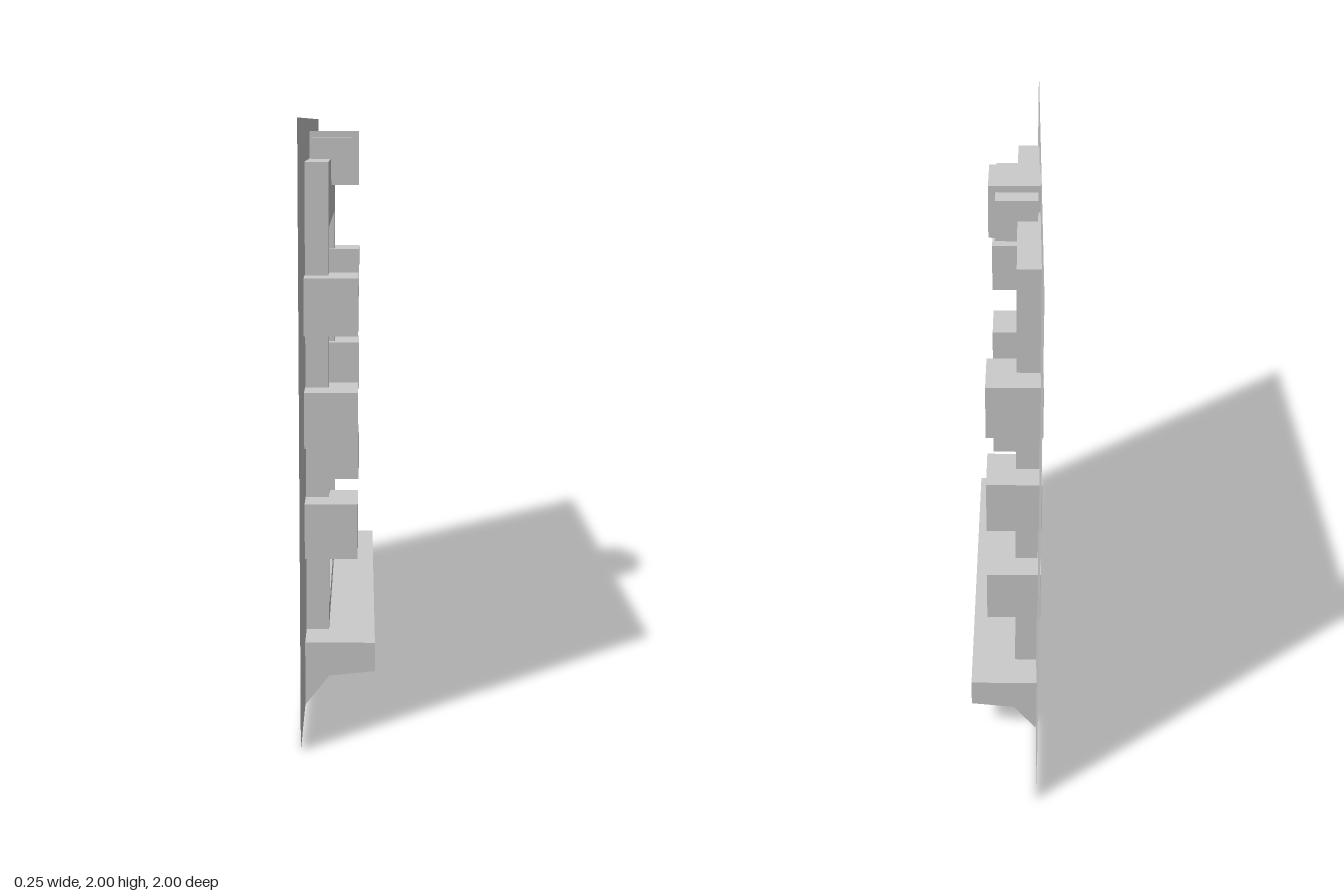
import * as THREE from 'three';
import { toCreasedNormals } from 'three/addons/utils/BufferGeometryUtils.js';

const WALL_X = -0.115;   // plane of the wall; the window faces +x
const BACK = WALL_X + 0.001;

export function createModel() {
  const model = new THREE.Group();
  model.name = 'windowWall';
  const grey = new THREE.MeshStandardMaterial({ color: 0xcccccc });
  const greyThin = new THREE.MeshStandardMaterial({ color: 0xcccccc, side: THREE.DoubleSide });

  function add(name, geometry, material = grey) {
    const mesh = new THREE.Mesh(geometry, material);
    mesh.name = name;
    model.add(mesh);
    return mesh;
  }
  // Box given by its limits on each axis
  function box(name, x0, x1, y0, y1, z0, z1) {
    add(name, new THREE.BoxGeometry(x1 - x0, y1 - y0, z1 - z0))
      .position.set((x0 + x1) / 2, (y0 + y1) / 2, (z0 + z1) / 2);
  }
  function rectangle(Type, w, y0, y1) {
    return new Type([[-w, y0], [w, y0], [w, y1], [-w, y1]].map(p => new THREE.Vector2(...p)));
  }

  // Flat wall sheet
  const wall = add('wall', new THREE.PlaneGeometry(2, 2), greyThin);
  wall.rotation.y = Math.PI / 2;
  wall.position.set(WALL_X, 1, 0);

  // Window frame with one opening
  const outline = rectangle(THREE.Shape, 0.533, 0.23, 1.858);
  outline.holes.push(rectangle(THREE.Path, 0.48, 0.3, 1.637));
  const frame = add('frame', new THREE.ExtrudeGeometry(outline, { depth: 0.079, bevelEnabled: false }));
  frame.rotation.y = Math.PI / 2;
  frame.position.x = BACK;

  // Glazing bars
  for (const z of [-0.157, 0.16]) box('verticalBar', BACK, -0.08, 0.3, 1.637, z - 0.021, z + 0.021);
  for (const y of [0.613, 0.923, 1.28]) box('horizontalBar', BACK, -0.08, y - 0.019, y + 0.019, -0.48, 0.48);

  // Side blocks, just showing through the back of the wall
  for (const side of [-1, 1]) {
    for (const y of [0.62, 1.005, 1.387]) {
      const z = side * 0.535;
      box('sideBlock', -0.125, 0.065, y - 0.096, y + 0.096, z - 0.095, z + 0.095);
    }
  }

  // Keystone: tall centre block over a wider, shallower one
  box('keystone', BACK, 0.065, 1.764, 1.955, -0.095, 0.095);
  box('keystoneWings', -0.105, 0.04, 1.785, 1.932, -0.168, 0.168);

  // Sill with a softly shaded underside
  const profile = new THREE.Shape([
    [BACK, 0.235], [BACK, 0.008], [-0.032, 0.115], [0.125, 0.132], [0.125, 0.235],
  ].map(p => new THREE.Vector2(...p)));
  const sill = new THREE.ExtrudeGeometry(profile, { depth: 1.322, bevelEnabled: false });
  sill.translate(0, 0, -0.661);
  add('sill', toCreasedNormals(sill, 1));

  return model;
}
